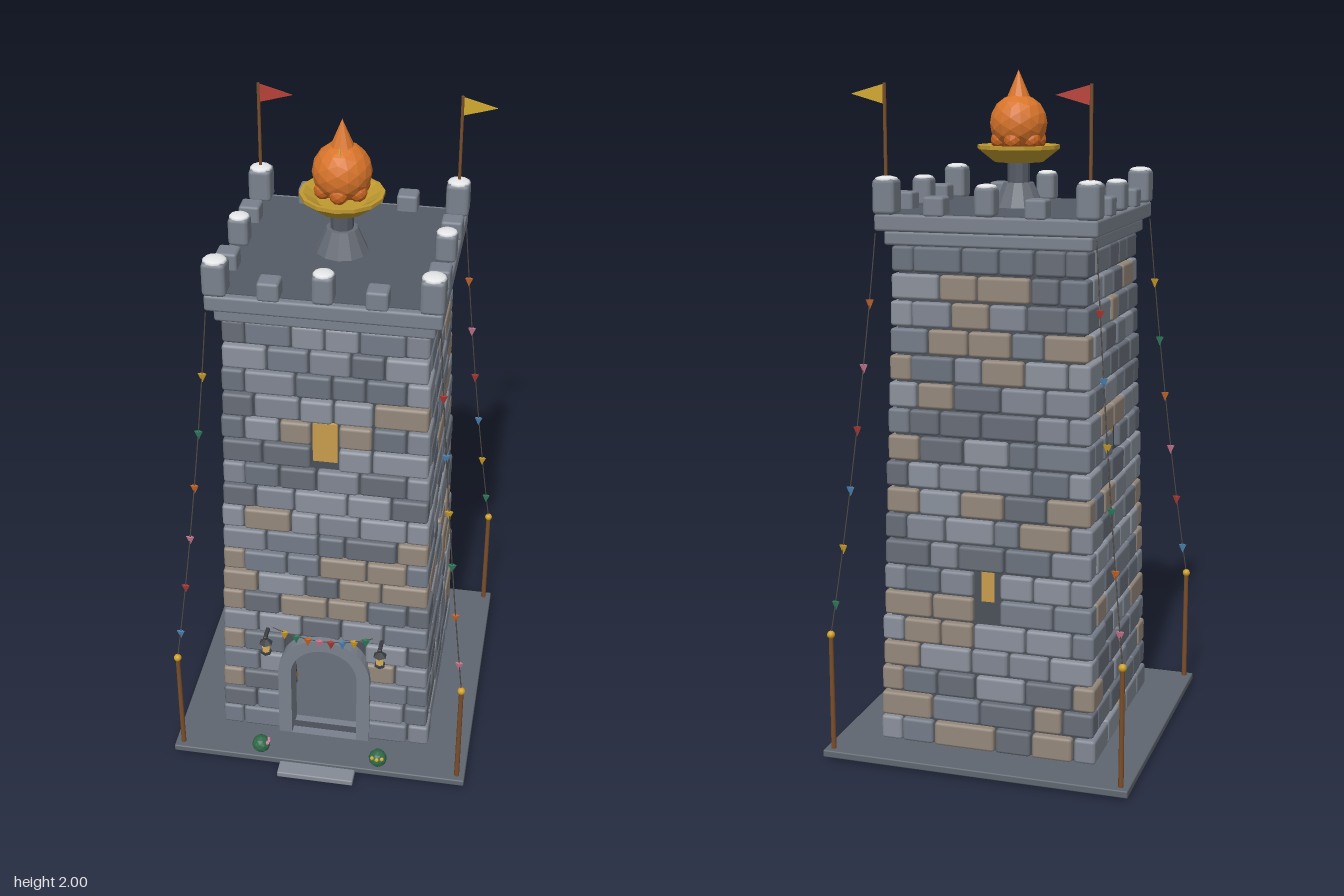
import * as THREE from 'three';
import { RoundedBoxGeometry } from 'three/addons/geometries/RoundedBoxGeometry.js';

const mats = {};
const mat = (color) => (mats[color] ??= new THREE.MeshStandardMaterial({ color, side: THREE.DoubleSide }));
const flat = (color) => (mats['f' + color] ??= new THREE.MeshStandardMaterial({ color, flatShading: true, side: THREE.DoubleSide }));

let seed = 7;
const rand = () => (seed = (seed * 16807) % 2147483647) / 2147483647;

function add(parent, name, geometry, material, x = 0, y = 0, z = 0) {
  const mesh = new THREE.Mesh(geometry, material);
  mesh.name = name;
  mesh.position.set(x, y, z);
  parent.add(mesh);
  return mesh;
}
const box = (w, h, d, r = 0.008) => new RoundedBoxGeometry(w, h, d, 1, r);
const cyl = (r1, r2, h, n = 10) => new THREE.CylinderGeometry(r1, r2, h, n);

const STONE = [0x6b727d, 0x757c88, 0x808692, 0x666c77, 0x8a909b];
const TAN = 0x94877b, SLAB = 0x7a818c, PAVING = 0x5f666f, WOOD = 0x7a4f2c, GOLD = 0xd0a028, DARK = 0x3a3d42;
const PARTY = [0xb03a36, 0x4f86b8, 0xd0a028, 0x2f8060, 0xc8682c, 0xc87890];
const ROWS = 19, Y0 = 0.027, ROW = 0.0783, DEPTH = 0.065;
const halfWidth = (y) => 0.332 - 0.042 * (y - 0.03) / 1.48;

// window centre heights: front, right, back, left
const WINDOWS = [1.135, 0.7, 0.52, 0.92];

// splits one run of a course into bricks of varying length
function brickRun(parent, from, to, y, face) {
  const n = Math.max(1, Math.round((to - from) / 0.125));
  const sizes = Array.from({ length: n }, () => 0.65 + rand() * 0.7);
  const total = sizes.reduce((a, b) => a + b, 0);
  let x = from;
  for (const s of sizes) {
    const w = (s / total) * (to - from);
    const color = rand() < 0.15 ? TAN : STONE[Math.floor(rand() * STONE.length)];
    add(parent, 'brick', box(w - 0.005, ROW - 0.006, DEPTH, 0.009), mat(color),
      x + w / 2, y, face - DEPTH / 2 + (rand() - 0.5) * 0.006);
    x += w;
  }
}

function archPath(path, half, spring, bottom) {
  path.moveTo(-half, bottom);
  path.lineTo(-half, spring);
  path.absarc(0, spring, half, Math.PI, 0, true);
  path.lineTo(half, bottom);
  path.closePath();
  return path;
}

function wall(side) {
  const g = new THREE.Group();
  g.name = 'wall';
  g.rotation.y = side * Math.PI / 2;
  // mortar backing, cut out at the doorway
  const s = new THREE.Shape([[-0.31, 0], [0.31, 0], [0.27, 1.48], [-0.27, 1.48]].map((p) => new THREE.Vector2(...p)));
  if (side === 0) s.holes.push(archPath(new THREE.Path(), 0.12, 0.27, 0.001));
  const back = new THREE.ExtrudeGeometry(s, { depth: 0.025, bevelEnabled: false }).translate(0, 0, -0.025);
  add(g, 'mortar', back, mat(0x4a4f57), 0, 0.03, 0.312).rotation.x = -Math.atan(0.042 / 1.48);
  // brick courses, alternating at the corners
  for (let r = 0; r < ROWS; r++) {
    const y = Y0 + (r + 0.5) * ROW, face = halfWidth(y);
    const end = (r + side) % 2 ? face : face - DEPTH;
    let gap = 0;
    if (side === 0 && r < 5) gap = 0.125;
    else if (Math.abs(y - WINDOWS[side]) < 0.065) gap = 0.039;
    if (gap) {
      brickRun(g, -end, -gap, y, face);
      brickRun(g, gap, end, y, face);
    } else brickRun(g, -end, end, y, face);
  }
  // glowing window pane
  const wy = WINDOWS[side], shown = side < 2;
  add(g, 'windowPane', new THREE.BoxGeometry(shown ? 0.072 : 0.04, 0.13, 0.03), mat(0xc89c4c),
    0, wy, halfWidth(wy) - (shown ? 0.027 : 0.034));
  return g;
}

// small pennant hanging point down
function pennant(parent, p, i, size = 1) {
  const m = add(parent, 'pennant', new THREE.ConeGeometry(0.014 * size, 0.032 * size, 4), flat(PARTY[i % 6]), p.x, p.y - 0.014 * size, p.z);
  m.rotation.x = Math.PI;
  m.scale.z = 0.5;
}

function rope(parent, a, mid, b, count, offset, size) {
  const curve = new THREE.QuadraticBezierCurve3(a, mid, b);
  add(parent, 'rope', new THREE.TubeGeometry(curve, 16, 0.0018, 4), mat(0x55504a));
  for (let i = 0; i < count; i++) pennant(parent, curve.getPoint((i + 1) / (count + 0.6)), i + offset, size);
}

function doorway(parent) {
  const g = new THREE.Group();
  g.name = 'doorway';
  parent.add(g);
  const s = archPath(new THREE.Shape(), 0.145, 0.285, 0.03);
  s.holes.push(archPath(new THREE.Path(), 0.104, 0.285, 0.0301));
  add(g, 'doorArch', new THREE.ExtrudeGeometry(s, { depth: 0.08, bevelEnabled: false, curveSegments: 10 }), flat(SLAB), 0, 0, 0.262);
  const v = (x, y) => new THREE.Vector3(x, y, 0.352);
  rope(g, v(-0.155, 0.475), v(0, 0.405), v(0.155, 0.475), 8, 2, 0.95);
  for (const sx of [-1, 1]) {
    // wall lantern
    const x = sx * 0.178;
    add(g, 'lanternBracket', box(0.012, 0.012, 0.05, 0.003), mat(DARK), x, 0.437, 0.34);
    add(g, 'lanternRoof', new THREE.ConeGeometry(0.022, 0.02, 6), flat(DARK), x, 0.42, 0.352);
    add(g, 'lanternGlass', cyl(0.014, 0.012, 0.035, 6), flat(0xe0b860), x, 0.395, 0.352);
    add(g, 'lanternBase', cyl(0.017, 0.017, 0.008, 6), flat(DARK), x, 0.374, 0.352);
    // flowering bush
    const bush = add(g, 'bush', new THREE.IcosahedronGeometry(0.029, 1), flat(0x2f6848), sx * 0.187, 0.05, 0.427);
    for (let i = -1; i <= 1; i++) {
      const a = sx > 0 ? i * 0.7 : Math.PI / 2 + i * 0.4;
      add(bush, 'flower', new THREE.IcosahedronGeometry(0.007, 0), flat(sx > 0 ? 0xd8a830 : 0xd080a0),
        Math.sin(a) * 0.024, 0.014, Math.cos(a) * 0.024);
    }
  }
  // barrel standing inside
  const pts = [[0, 0], [0.034, 0], [0.043, 0.05], [0.034, 0.1], [0, 0.1]].map((p) => new THREE.Vector2(...p));
  add(g, 'barrel', new THREE.LatheGeometry(pts, 12), flat(0x9a6232), -0.17, 0.03, 0.13);
  for (const y of [0.055, 0.105]) add(g, 'barrelHoop', cyl(0.042, 0.042, 0.008, 12), mat(DARK), -0.17, y, 0.13);
}

function battlements(parent) {
  const g = new THREE.Group();
  g.name = 'battlements';
  parent.add(g);
  add(g, 'lowerCornice', box(0.61, 0.04, 0.61), mat(SLAB), 0, 1.535, 0);
  add(g, 'upperCornice', box(0.652, 0.048, 0.652), mat(SLAB), 0, 1.58, 0);
  add(g, 'roofFloor', new THREE.BoxGeometry(0.61, 0.006, 0.61), mat(0x555b65), 0, 1.604, 0);
  // tall posts with pale caps at corners and middles, low blocks between
  for (let i = -2; i <= 2; i++) for (let j = -2; j <= 2; j++) {
    if (Math.max(Math.abs(i), Math.abs(j)) < 2) continue;
    const x = i * 0.148, z = j * 0.148;
    if ((i + j) % 2) {
      add(g, 'lowMerlon', box(0.062, 0.056, 0.062), mat(SLAB), x, 1.628, z);
      continue;
    }
    const corner = i && j, w = corner ? 0.068 : 0.06, h = corner ? 0.1 : 0.085;
    add(g, 'post', box(w, h, w, 0.012), mat(SLAB), x, 1.602 + h / 2, z);
    add(g, 'postCap', new THREE.SphereGeometry(w * 0.5, 12, 6).scale(1, 0.3, 1), mat(0xe4e6e8), x, 1.6 + h, z);
  }
  // flags on the two back corners
  for (const [sx, color] of [[-1, 0xb84038], [1, 0xd0a830]]) {
    add(g, 'flagPole', cyl(0.005, 0.005, 0.27, 6), mat(WOOD), sx * 0.297, 1.83, -0.297);
    const tri = new THREE.Shape([[0, 0.028], [0, -0.028], [0.1, 0]].map((p) => new THREE.Vector2(...p)));
    add(g, 'flag', new THREE.ExtrudeGeometry(tri, { depth: 0.004, bevelEnabled: false }), flat(color), sx * 0.297, 1.935, -0.299);
  }
}

function brazier(parent) {
  const g = new THREE.Group();
  g.name = 'brazier';
  parent.add(g);
  add(g, 'pedestal', cyl(0.045, 0.078, 0.075, 12), flat(0x666c76), 0, 1.64, 0);
  add(g, 'stem', cyl(0.033, 0.033, 0.08, 10), flat(0x555b65), 0, 1.705, 0);
  const pts = [[0, 1.737], [0.072, 1.737], [0.12, 1.775], [0.12, 1.786], [0.109, 1.786], [0.07, 1.762], [0, 1.76]].map((p) => new THREE.Vector2(...p));
  add(g, 'bowl', new THREE.LatheGeometry(pts, 14), flat(0xc09a30));
  // fire: body, ring of embers, flame tips
  const fire = flat(0xd8742a);
  add(g, 'fireBody', new THREE.IcosahedronGeometry(0.084, 2), fire, 0, 1.848, 0);
  add(g, 'flameTip', new THREE.ConeGeometry(0.043, 0.1, 10), fire, 0, 1.95, 0);
  add(g, 'innerFlame', new THREE.ConeGeometry(0.018, 0.08, 8), flat(0xe0a038), 0, 1.9, 0.046);
  for (let i = 0; i < 6; i++) {
    const a = i * Math.PI / 3;
    add(g, 'ember', new THREE.IcosahedronGeometry(0.027, 1), flat(0xc8641f), Math.sin(a) * 0.056, 1.8, Math.cos(a) * 0.056);
  }
}

export function createModel() {
  const model = new THREE.Group();
  model.name = 'castleTower';
  const tower = new THREE.Group();
  tower.name = 'tower';
  tower.position.z = -0.025;
  model.add(tower);

  add(tower, 'basePlate', box(0.926, 0.022, 0.926, 0.004), mat(PAVING), 0, 0.019, 0);
  add(tower, 'doorStep', box(0.24, 0.02, 0.12, 0.004), mat(0x858b96), 0, 0.01, 0.453);
  for (let side = 0; side < 4; side++) tower.add(wall(side));
  doorway(tower);
  battlements(tower);
  brazier(tower);

  // corner poles with pennant ropes up to the cornice
  let n = 0;
  for (const sx of [-1, 1]) for (const sz of [-1, 1]) {
    const g = new THREE.Group();
    g.name = 'pennantLine';
    tower.add(g);
    const at = (r, y) => new THREE.Vector3(sx * r, y, sz * r);
    add(g, 'pole', cyl(0.007, 0.008, 0.355, 8), mat(WOOD), sx * 0.438, 0.205, sz * 0.438);
    add(g, 'poleKnob', new THREE.SphereGeometry(0.012, 10, 8), mat(GOLD), sx * 0.438, 0.385, sz * 0.438);
    rope(g, at(0.322, 1.55), at(0.37, 0.92), at(0.438, 0.385), 6, n++ * 2, 0.9);
  }
  return model;
}
